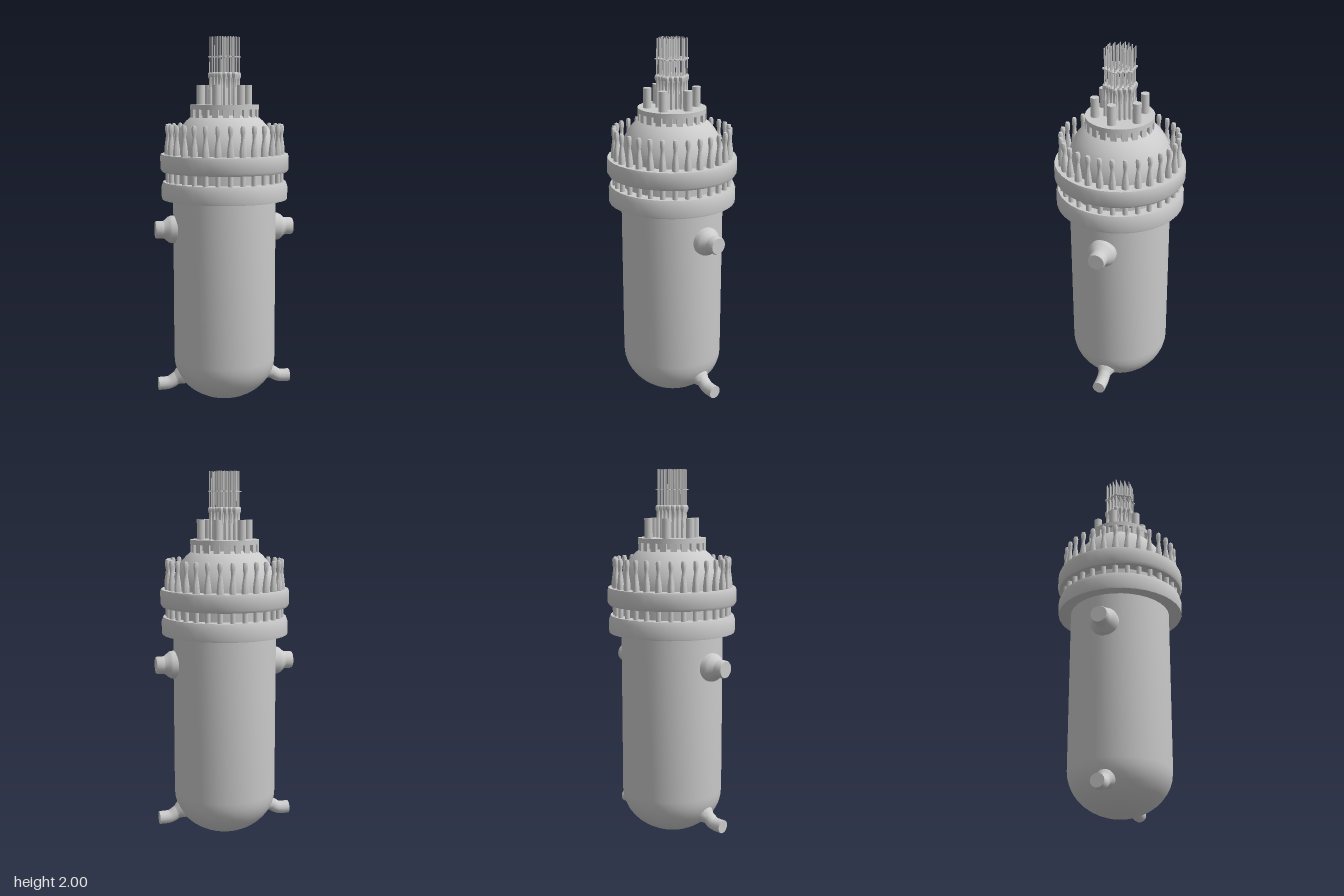
import * as THREE from 'three';
import { toCreasedNormals } from 'three/addons/utils/BufferGeometryUtils.js';

const material = new THREE.MeshStandardMaterial({ color: 0xcccccc });
const bodyDepth = 0.965; // the vessel is slightly narrower front to back

function add(parent, name, geometry, x = 0, y = 0, z = 0) {
  const mesh = new THREE.Mesh(geometry, material);
  mesh.name = name;
  mesh.position.set(x, y, z);
  parent.add(mesh);
  return mesh;
}

// Revolved [radius, height] profile, listed bottom to top
function turned(profile, segments = 36, crease = 0.6) {
  const points = profile.map(([r, y]) => new THREE.Vector2(r, y));
  return toCreasedNormals(new THREE.LatheGeometry(points, segments), crease);
}

function group(parent, name) {
  const g = new THREE.Group();
  g.name = name;
  parent.add(g);
  return g;
}

// Calls place(x, z, angle) evenly round a circle
function ring(count, radius, place, start = 0) {
  for (let i = 0; i < count; i++) {
    const a = start + (i / count) * Math.PI * 2;
    place(Math.cos(a) * radius, Math.sin(a) * radius, a);
  }
}

export function createModel() {
  const model = new THREE.Group();
  model.name = 'pressureVessel';

  // Vessel with a rounded bottom
  const bowl = [];
  for (let i = 0; i <= 10; i++) {
    const a = (i / 10) * Math.PI / 2;
    bowl.push([0.283 * Math.sin(a), 0.235 * (1 - Math.cos(a))]);
  }
  add(model, 'vesselBody', turned([...bowl, [0.283, 1.3]])).scale.z = bodyDepth;

  // Bolted flanges
  add(model, 'lowerFlange', turned([
    [0.27, 1.13], [0.343, 1.13], [0.345, 1.14], [0.345, 1.2], [0.336, 1.225], [0.27, 1.225],
  ]));
  add(model, 'upperFlange', turned([
    [0.27, 1.28], [0.342, 1.28], [0.351, 1.295], [0.351, 1.362], [0.347, 1.375], [0.27, 1.375],
  ]));

  // Domed head
  add(model, 'domeHead', turned([
    [0.283, 1.37], [0.283, 1.4], [0.276, 1.44], [0.261, 1.48], [0.238, 1.52],
    [0.207, 1.555], [0.17, 1.585], [0.1, 1.61], [0, 1.62],
  ])).scale.z = bodyDepth;

  // Closure studs, running down through the gap between the flanges
  const studs = group(model, 'closureStuds');
  const studShape = turned([
    [0.019, 1.37], [0.019, 1.395], [0.016, 1.425], [0.01, 1.465], [0.0095, 1.48],
    [0.013, 1.5], [0.0135, 1.522], [0.01, 1.534], [0, 1.537],
  ], 12, 0.8);
  const shankShape = new THREE.CylinderGeometry(0.014, 0.014, 0.07, 12);
  ring(30, 0.31, (x, z) => {
    add(studs, 'stud', studShape, x, 0, z);
    add(studs, 'studShank', shankShape, x, 1.252, z);
  });

  // Top cap with blocks round its rim
  const cap = group(model, 'topCap');
  cap.scale.z = bodyDepth;
  add(cap, 'capCore', new THREE.CylinderGeometry(0.17, 0.17, 0.07, 36), 0, 1.59, 0);
  add(cap, 'capLid', new THREE.CylinderGeometry(0.187, 0.187, 0.025, 36), 0, 1.6275, 0);
  const block = new THREE.BoxGeometry(0.026, 0.07, 0.033);
  ring(20, 0.172, (x, z, a) => {
    add(cap, 'rimBlock', block, x, 1.6, z).rotation.y = -a;
  }, Math.PI / 20);

  // Six stub pipes
  const stubs = group(model, 'stubPipes');
  const stub = new THREE.CylinderGeometry(0.0225, 0.0225, 0.11, 16);
  ring(6, 0.131, (x, z) => add(stubs, 'stubPipe', stub, x, 1.69, z));

  // Hexagonal bundle of drive tubes with paired rods
  const bundle = group(model, 'driveBundle');
  const tube = turned([
    [0.0095, 1.63], [0.0095, 1.72], [0.0075, 1.74], [0.0075, 1.775],
    [0.0135, 1.79], [0.0135, 1.805], [0.009, 1.812], [0, 1.812],
  ], 6, 0.4);
  const plate = new THREE.CylinderGeometry(0.0135, 0.0135, 0.006, 6);
  const rod = new THREE.CylinderGeometry(0.0022, 0.0022, 0.2, 6);
  for (let row = -3; row <= 3; row++) {
    const count = 7 - Math.abs(row);
    for (let i = 0; i < count; i++) {
      const x = (i - (count - 1) / 2) * 0.026;
      const z = row * 0.0226;
      add(bundle, 'driveTube', tube, x, 0, z);
      add(bundle, 'guidePlate', plate, x, 1.894, z);
      for (const side of [-1, 1]) add(bundle, 'driveRod', rod, x + side * 0.005, 1.9, z);
    }
  }

  // Side nozzles and bent bottom nozzles, mirrored left and right
  const sideShape = turned([
    [0.076, 0.24], [0.076, 0.3], [0.07, 0.314], [0.05, 0.337], [0.048, 0.345],
    [0.048, 0.378], [0.044, 0.385], [0, 0.385],
  ], 24);
  const baseShape = turned([
    [0.054, -0.03], [0.054, 0.045], [0.048, 0.065], [0.036, 0.085], [0.034, 0.1],
  ], 20, 0.9);
  const bend = new THREE.CatmullRomCurve3([
    new THREE.Vector3(0.22, 0.155, 0), new THREE.Vector3(0.27, 0.125, 0),
    new THREE.Vector3(0.31, 0.1, 0), new THREE.Vector3(0.34, 0.095, 0),
    new THREE.Vector3(0.377, 0.095, 0),
  ]);
  const bendShape = new THREE.TubeGeometry(bend, 16, 0.036, 16);
  const endShape = new THREE.CircleGeometry(0.036, 16);
  for (const [name, turn] of [['left', 0], ['right', Math.PI]]) {
    const side = group(model, name + 'Nozzles');
    side.rotation.y = turn;
    add(side, 'sideNozzle', sideShape, 0, 0.965, 0).rotation.z = -Math.PI / 2;
    add(side, 'bottomNozzleBase', baseShape, 0.2, 0.16, 0).rotation.z = -Math.PI / 2 - 0.5;
    add(side, 'bottomNozzlePipe', bendShape);
    add(side, 'bottomNozzleEnd', endShape, 0.377, 0.095, 0).rotation.y = Math.PI / 2;
  }

  return model;
}
